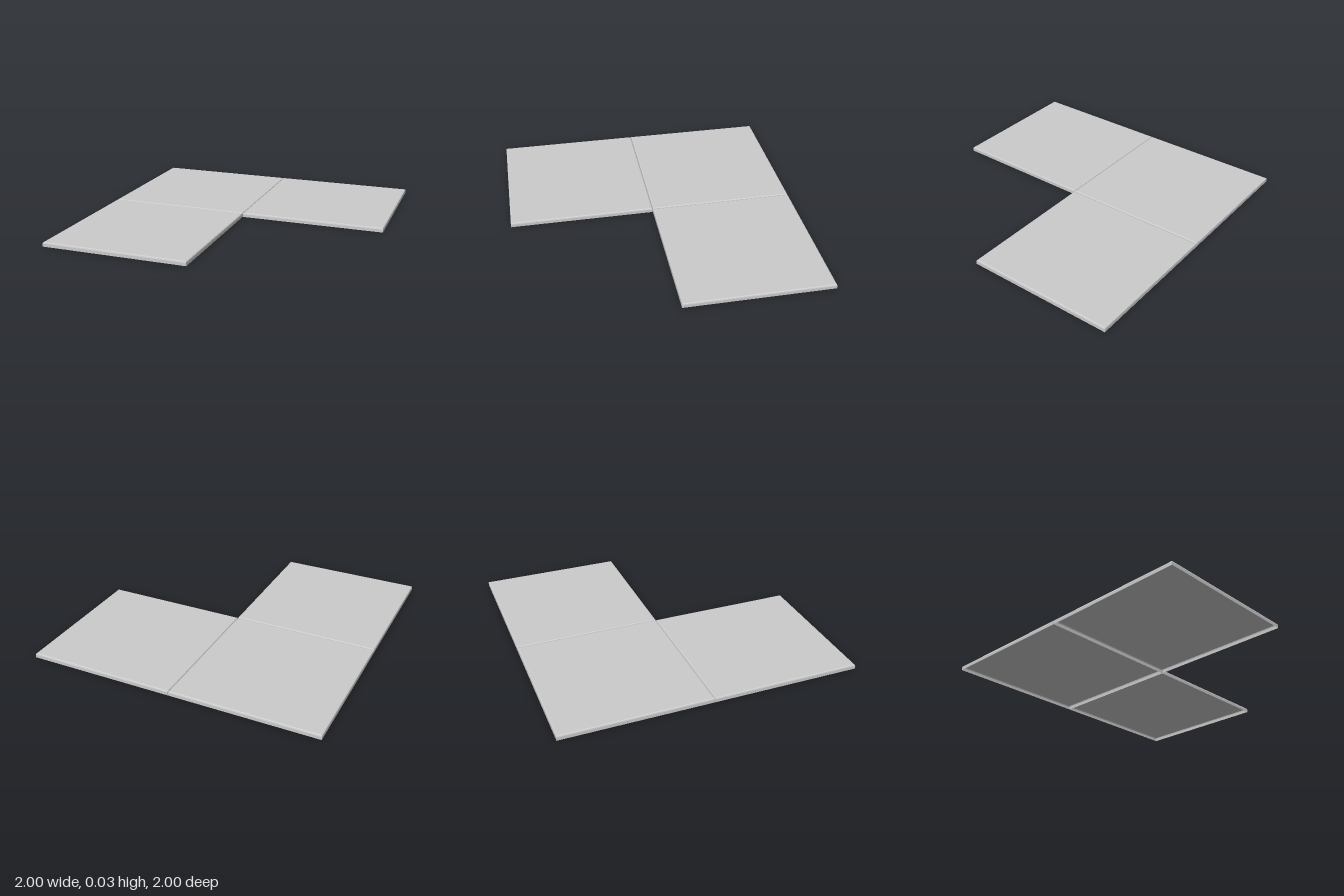
import * as THREE from 'three';

export function createModel() {
  const group = new THREE.Group();
  group.name = 'floorTiles';
  const material = new THREE.MeshStandardMaterial({
    color: 0xcccccc, flatShading: true, side: THREE.DoubleSide,
  });

  // Hollow tile, open below: half width and height from lower rim to top face
  const profile = [
    [0.499, 0], [0.499, 0.02], [0.497, 0.027], [0.49, 0.03], [0, 0.03],
  ].map(([half, y]) => new THREE.Vector2(half * Math.SQRT2, y));

  // Four-sided lathe turned so its sides face the axes
  const shell = new THREE.LatheGeometry(profile, 4).rotateY(Math.PI / 4).toNonIndexed();
  shell.computeVertexNormals();

  // Three tiles in an L, leaving the front left quarter open
  const places = { cornerTile: [-0.5, -0.5], leftTile: [0.5, -0.5], frontTile: [-0.5, 0.5] };
  for (const [name, [x, z]] of Object.entries(places)) {
    const tile = new THREE.Mesh(shell, material);
    tile.name = name;
    tile.position.set(x, 0, z);
    group.add(tile);
  }
  return group;
}
